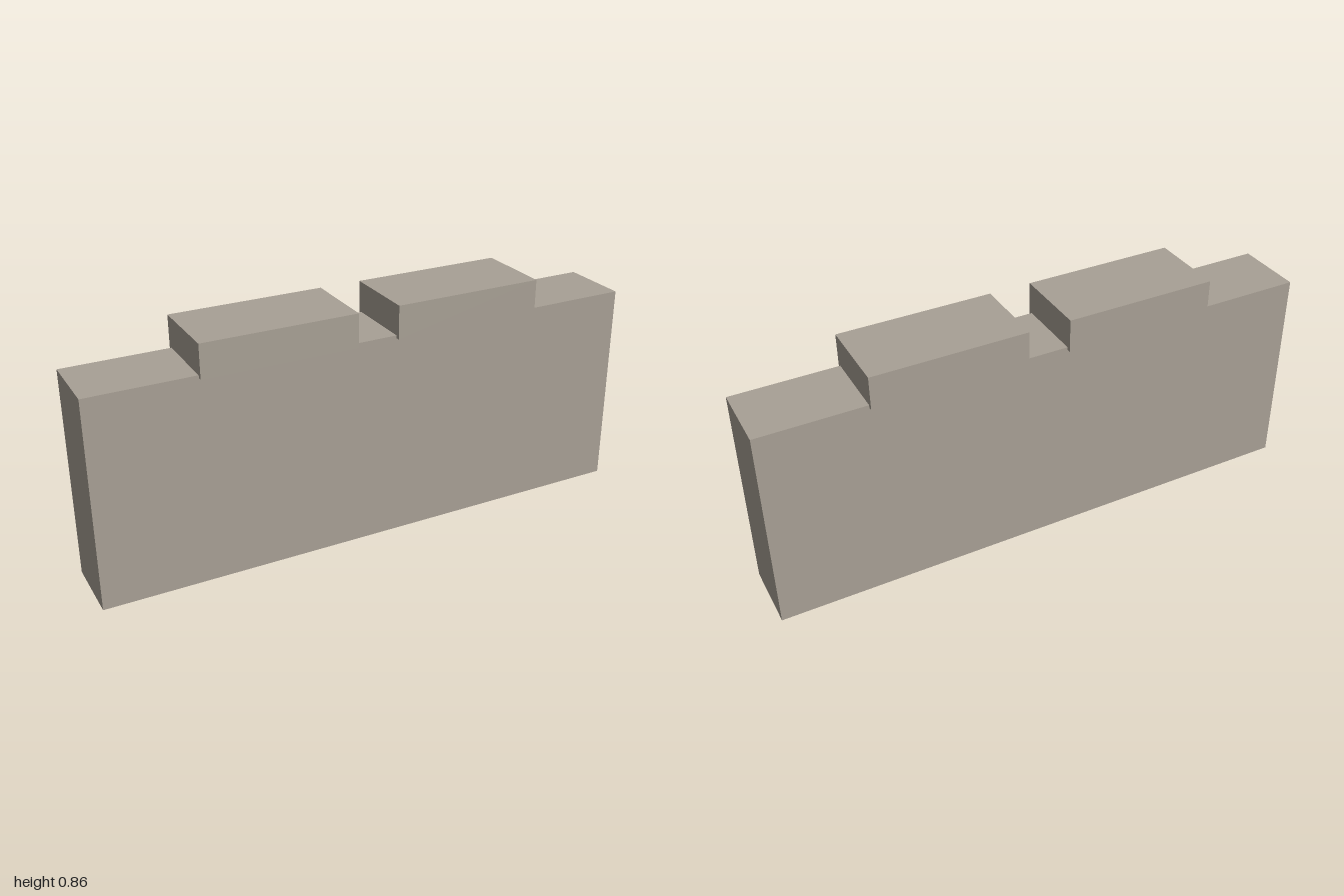
import * as THREE from 'three';

export function createModel() {
  const model = new THREE.Group();
  const stone = new THREE.MeshStandardMaterial({ color: 0xa8a095, flatShading: true });

  // Box standing on a given base height
  const addBlock = (name, width, height, depth, x, baseY) => {
    const mesh = new THREE.Mesh(new THREE.BoxGeometry(width, height, depth), stone);
    mesh.name = name;
    mesh.position.set(x, baseY + height / 2, 0);
    model.add(mesh);
  };

  // Wall slab
  addBlock('wall', 2, 0.75, 0.25, 0, 0);

  // Two merlons, slightly overhanging and sunk into the wall top
  for (const side of [-1, 1]) {
    addBlock(side > 0 ? 'leftMerlon' : 'rightMerlon', 0.55, 0.12, 0.28, side * 0.35, 0.74);
  }

  return model;
}
